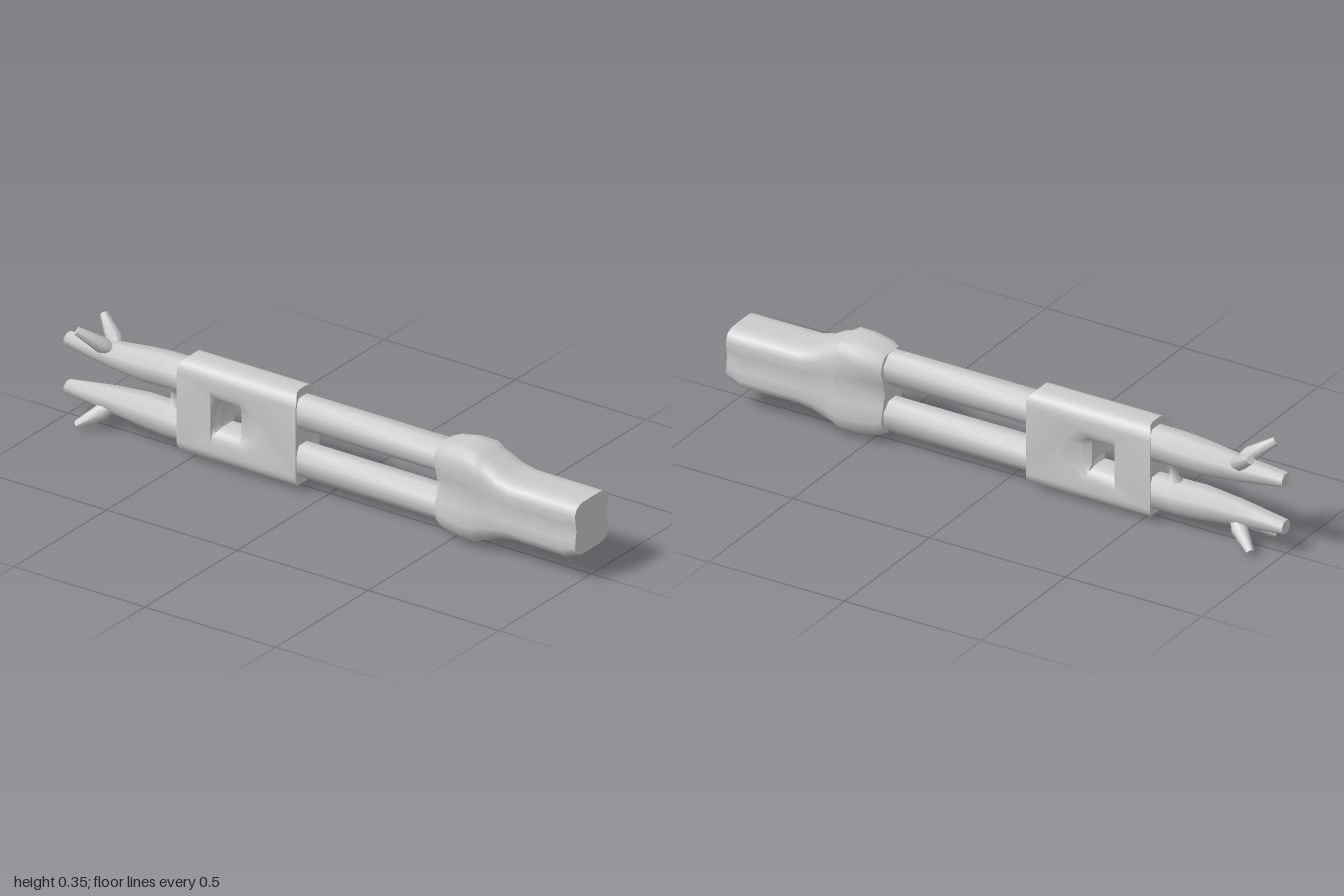
import * as THREE from 'three';
import { toCreasedNormals } from 'three/addons/utils/BufferGeometryUtils.js';

const MID = 0.1945; // height of the horizontal mirror plane
const material = new THREE.MeshStandardMaterial({ color: 0xcccccc });

// Skin over rings of [x, y, z], ordered from front (+z) to back, with both ends capped.
function loft(rings, crease = 0.75) {
  const n = rings[0].length;
  const pos = rings.flat(2);
  const idx = [];
  for (let i = 0; i < rings.length - 1; i++) {
    for (let j = 0; j < n; j++) {
      const a = i * n + j, b = i * n + (j + 1) % n;
      idx.push(a, a + n, b, b, a + n, b + n);
    }
  }
  [0, rings.length - 1].forEach((r, end) => {
    const c = pos.length / 3;
    const ring = rings[r];
    for (let k = 0; k < 3; k++) pos.push(ring.reduce((s, p) => s + p[k], 0) / n);
    for (let j = 0; j < n; j++) {
      const a = r * n + j, b = r * n + (j + 1) % n;
      if (end) idx.push(c, b, a); else idx.push(c, a, b);
    }
  });
  const g = new THREE.BufferGeometry();
  g.setAttribute('position', new THREE.Float32BufferAttribute(pos, 3));
  g.setIndex(idx);
  return toCreasedNormals(g, crease);
}

// Octagonal ring with flat top and sides.
function octagon([z, y0, y1, hw]) {
  const k = 1 / Math.cos(Math.PI / 8);
  return Array.from({ length: 8 }, (_, j) => {
    const a = (j + 0.5) * Math.PI / 4;
    return [hw * k * Math.cos(a), (y0 + y1) / 2 + (y1 - y0) / 2 * k * Math.sin(a), z];
  });
}

// Rounded block ring whose sides pinch to a waist.
function waisted([z, y0, y1, hw, w]) {
  const half = [[0.35, -1], [0.66, -0.98], [0.89, -0.85], [1, -0.62], [(1 + w) / 2, -0.28], [w, 0],
    [(1 + w) / 2, 0.28], [1, 0.62], [0.89, 0.85], [0.66, 0.98], [0.35, 1]];
  const right = half.map(([x, y]) => [x * hw, (y0 + y1) / 2 + y * (y1 - y0) / 2, z]);
  return [...right, ...right.map(([x, y]) => [-x, y, z]).reverse()];
}

// Side plate with a window; its rims are rounded, the window slopes out towards the front.
function cuffGeometry() {
  const zc = -0.3125;
  const s = new THREE.Shape();
  s.moveTo(-0.49, 0.075).lineTo(-0.135, 0.075).lineTo(-0.135, 0.314).lineTo(-0.49, 0.314).closePath();
  const hole = new THREE.Path();
  hole.moveTo(-0.445, 0.15).lineTo(-0.42, 0.105).lineTo(-0.29, 0.105).lineTo(-0.26, 0.15)
    .lineTo(-0.26, 0.24).lineTo(-0.29, 0.285).lineTo(-0.42, 0.285).lineTo(-0.445, 0.24).closePath();
  s.holes.push(hole);
  const g = new THREE.ExtrudeGeometry(s, {
    depth: 0.04, bevelThickness: 0.045, bevelSize: 0.045, bevelSegments: 4,
  });
  g.translate(0, 0, -0.02).rotateY(-Math.PI / 2);
  const p = g.attributes.position;
  for (let i = 0; i < p.count; i++) {
    const y = p.getY(i), z = p.getZ(i);
    if (Math.abs(z - zc) > 0.15) {
      const chamfer = Math.max(0, Math.abs(y - MID) - 0.145) * 0.9;
      p.setZ(i, zc + Math.sign(z - zc) * (0.2275 - chamfer));
    } else if (z > -0.305) {
      p.setZ(i, -0.32 + (z + 0.305) * 2.5);
    } else {
      p.setZ(i, Math.max(z, -0.41));
    }
  }
  g.deleteAttribute('normal');
  g.deleteAttribute('uv');
  return toCreasedNormals(g, 0.65);
}

export function createModel() {
  const model = new THREE.Group();
  const add = (name, geometry) => {
    const mesh = new THREE.Mesh(geometry, material);
    mesh.name = name;
    model.add(mesh);
    return mesh;
  };

  // Elbow block: z, bottom, top, half width, waist
  add('elbowBlock', loft([
    [1, 0.108, 0.287, 0.09, 0.91],
    [0.95, 0.086, 0.288, 0.09, 0.91],
    [0.74, 0.088, 0.289, 0.09, 0.92],
    [0.69, 0.078, 0.302, 0.088, 0.92],
    [0.65, 0.06, 0.325, 0.085, 0.92],
    [0.62, 0.05, 0.335, 0.088, 0.9],
    [0.6, 0.041, 0.349, 0.092, 0.86],
    [0.54, 0.038, 0.352, 0.086, 0.8],
    [0.47, 0.047, 0.341, 0.076, 0.72],
    [0.445, 0.058, 0.331, 0.066, 0.65],
  ].map(waisted)));

  add('cuff', cuffGeometry());

  // Upper and lower halves mirror each other
  const rod = [[0.5, 0.224, 0.33, 0.052], [-0.25, 0.224, 0.33, 0.052]];
  const finger = [
    [-0.43, 0.224, 0.334, 0.057], [-0.62, 0.224, 0.332, 0.056], [-0.7, 0.222, 0.326, 0.054],
    [-0.83, 0.232, 0.312, 0.042], [-1, 0.255, 0.3, 0.024],
  ];
  for (const [side, flip] of [['upper', 1], ['lower', -1]]) {
    const place = ([z, y0, y1, hw]) =>
      octagon(flip > 0 ? [z, y0, y1, hw] : [z, 2 * MID - y1, 2 * MID - y0, hw]);
    add(side + 'Rod', loft(rod.map(place), 0.9));
    add(side + 'Finger', loft(finger.map(place), 0.9));

    // Pair of splayed claws
    for (const sx of [1, -1]) {
      const from = new THREE.Vector3(sx * 0.018, MID + flip * 0.1, -0.825);
      const to = new THREE.Vector3(sx * 0.075, MID + flip * 0.163, -0.915);
      const dir = to.clone().sub(from);
      const len = dir.length();
      const profile = [[0, 0], [0.018, 0], [0.027, len * 0.25], [0.014, len], [0, len]]
        .map(([r, y]) => new THREE.Vector2(r, y));
      const geometry = new THREE.LatheGeometry(profile, 8);
      geometry.deleteAttribute('normal');
      geometry.deleteAttribute('uv');
      const claw = add(side + (sx > 0 ? 'LeftClaw' : 'RightClaw'), toCreasedNormals(geometry, 0.9));
      claw.position.copy(from);
      claw.quaternion.setFromUnitVectors(new THREE.Vector3(0, 1, 0), dir.normalize());
    }
  }

  // Hourglass strut between the fingers
  const strut = [[0.034, -0.045], [0.026, -0.028], [0.015, -0.012], [0.015, 0.012], [0.026, 0.028], [0.034, 0.045]]
    .map(([r, y]) => new THREE.Vector2(r, y));
  add('fingerStrut', new THREE.LatheGeometry(strut, 12)).position.set(0, MID, -0.59);

  return model;
}
